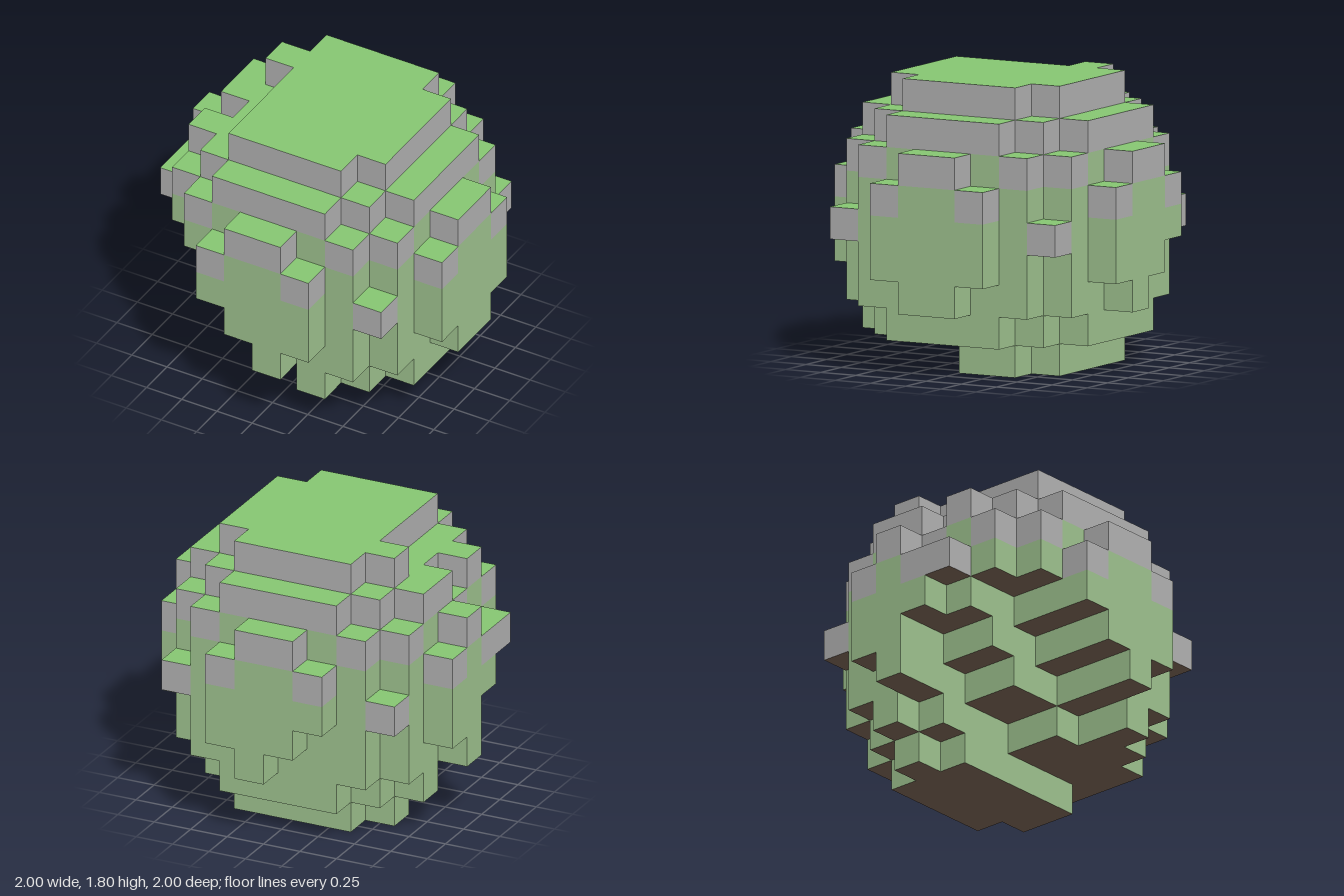
import * as THREE from 'three';
import { mergeGeometries } from 'three/addons/utils/BufferGeometryUtils.js';

const CELL = 0.2;

// Height maps of the block columns: rows run back to front, digits run from -x to +x.
const tops = [
  '...6776...',
  '.57888875.',
  '.78999987.',
  '6899999986',
  '7889999987',
  '6789999987',
  '6889999986',
  '.78999987.',
  '..7888875.',
  '...6776...',
];
const bottoms = [
  '...4323...',
  '.42111124.',
  '.21000012.',
  '3100000013',
  '2210000012',
  '4432211112',
  '5432211113',
  '.55432112.',
  '..5432124.',
  '...4323...',
];

const digit = (map, i, k) => {
  const c = map[k]?.[i];
  return c === undefined || c === '.' ? -1 : Number(c);
};
const solid = (i, j, k) => {
  const t = digit(tops, i, k);
  return t >= 0 && j < t && j >= digit(bottoms, i, k);
};

// One square face of a block, turned to look along the direction (dx, dy, dz).
function blockFace(i, j, k, [dx, dy, dz]) {
  const g = new THREE.PlaneGeometry(CELL, CELL);
  if (dy) g.rotateX(-dy * Math.PI / 2);
  else g.rotateY(Math.atan2(dx, dz));
  return g.translate(
    (i - 4.5 + dx / 2) * CELL,
    (j + 0.5 + dy / 2) * CELL,
    (k - 4.5 + dz / 2) * CELL,
  );
}

export function createModel() {
  const group = new THREE.Group();
  group.name = 'blockBoulder';

  const colours = { topGreen: 0x87c873, sideGreen: 0xa0c490, rimGrey: 0xb3b3b3, earthBrown: 0x826a5a };
  const parts = {
    grassTops: { colour: 'topGreen', faces: [] },
    mossySides: { colour: 'sideGreen', faces: [] },
    stoneRims: { colour: 'rimGrey', faces: [] },
    earthUndersides: { colour: 'earthBrown', faces: [] },
  };
  const directions = [[1, 0, 0], [-1, 0, 0], [0, 1, 0], [0, -1, 0], [0, 0, 1], [0, 0, -1]];

  // Keep only exposed faces; the uppermost block of each column has grey sides.
  for (let k = 0; k < 10; k++) {
    for (let i = 0; i < 10; i++) {
      for (let j = 0; j < 9; j++) {
        if (!solid(i, j, k)) continue;
        for (const d of directions) {
          if (solid(i + d[0], j + d[1], k + d[2])) continue;
          const sidePart = solid(i, j + 1, k) ? 'mossySides' : 'stoneRims';
          const part = d[1] > 0 ? 'grassTops' : d[1] < 0 ? 'earthUndersides' : sidePart;
          parts[part].faces.push(blockFace(i, j, k, d));
        }
      }
    }
  }

  for (const [name, { colour, faces }] of Object.entries(parts)) {
    const material = new THREE.MeshStandardMaterial({ color: colours[colour] });
    material.name = colour;
    const mesh = new THREE.Mesh(mergeGeometries(faces), material);
    mesh.name = name;
    group.add(mesh);
  }
  return group;
}
